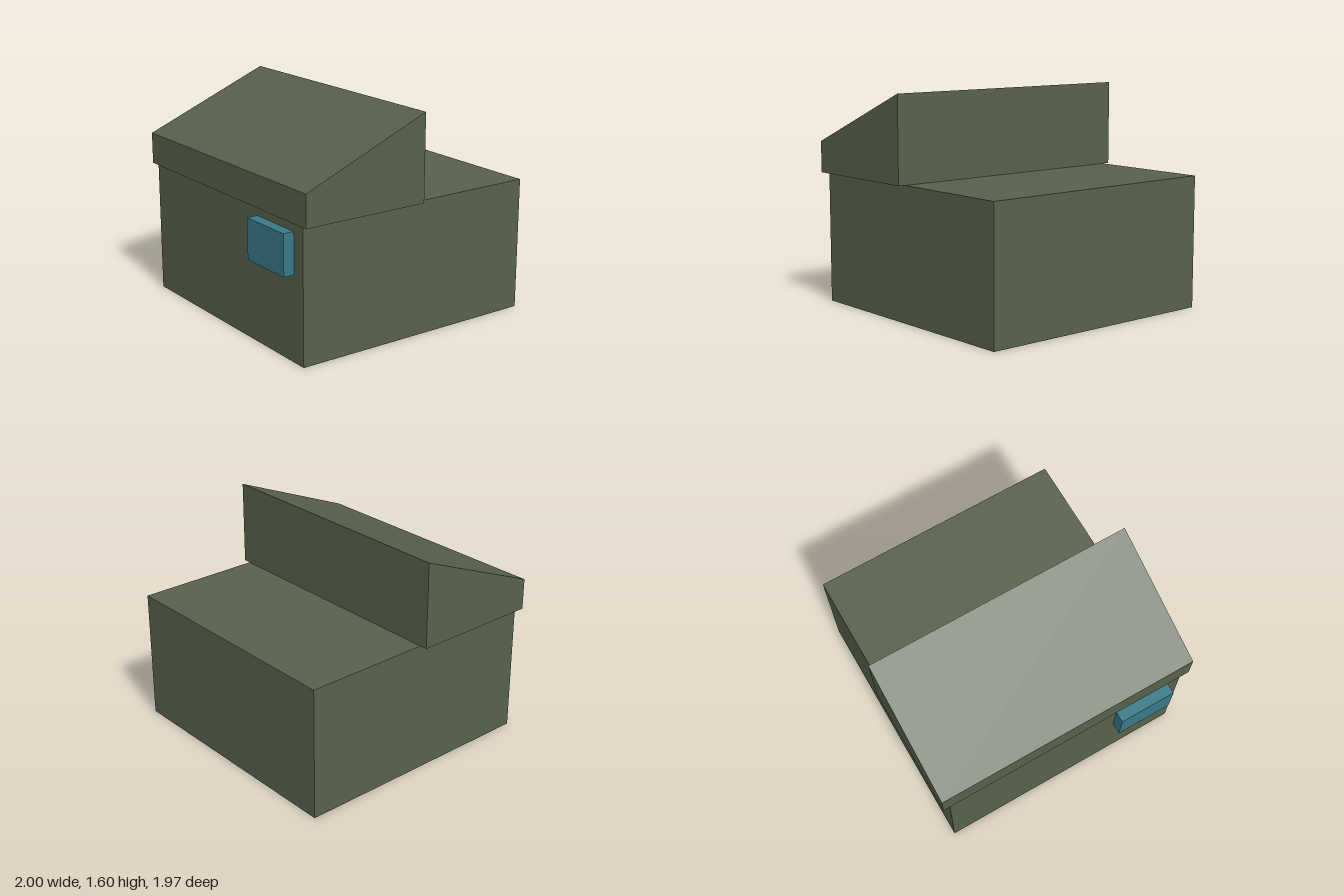
import * as THREE from 'three';

export function createModel() {
  const model = new THREE.Group();
  const olive = new THREE.MeshStandardMaterial({ color: 0x57614b });
  olive.name = 'olive green';
  const blue = new THREE.MeshStandardMaterial({ color: 0x397989 });
  blue.name = 'window blue';

  // Box given by its lower and upper corners
  const addBox = (name, material, min, max) => {
    const size = max.map((v, i) => v - min[i]);
    const mesh = new THREE.Mesh(new THREE.BoxGeometry(...size), material);
    mesh.position.set(...max.map((v, i) => (v + min[i]) / 2));
    mesh.name = name;
    model.add(mesh);
  };

  addBox('body', olive, [-0.943, 0, -0.985], [0.943, 0.97, 0.905]);
  addBox('window', blue, [0.41, 0.615, 0.9], [0.84, 0.91, 0.985]);

  // Sloped roof: side profile (z, y) extruded across the full width
  const profile = new THREE.Shape([
    [-0.045, 0.97], [0.92, 0.97], [0.92, 1.2], [-0.045, 1.597],
  ].map(([z, y]) => new THREE.Vector2(z, y)));
  const roofGeometry = new THREE.ExtrudeGeometry(profile, { depth: 2, bevelEnabled: false });
  roofGeometry.rotateY(-Math.PI / 2).translate(1, 0, 0);
  const roof = new THREE.Mesh(roofGeometry, olive);
  roof.name = 'slopedRoof';
  model.add(roof);

  return model;
}
